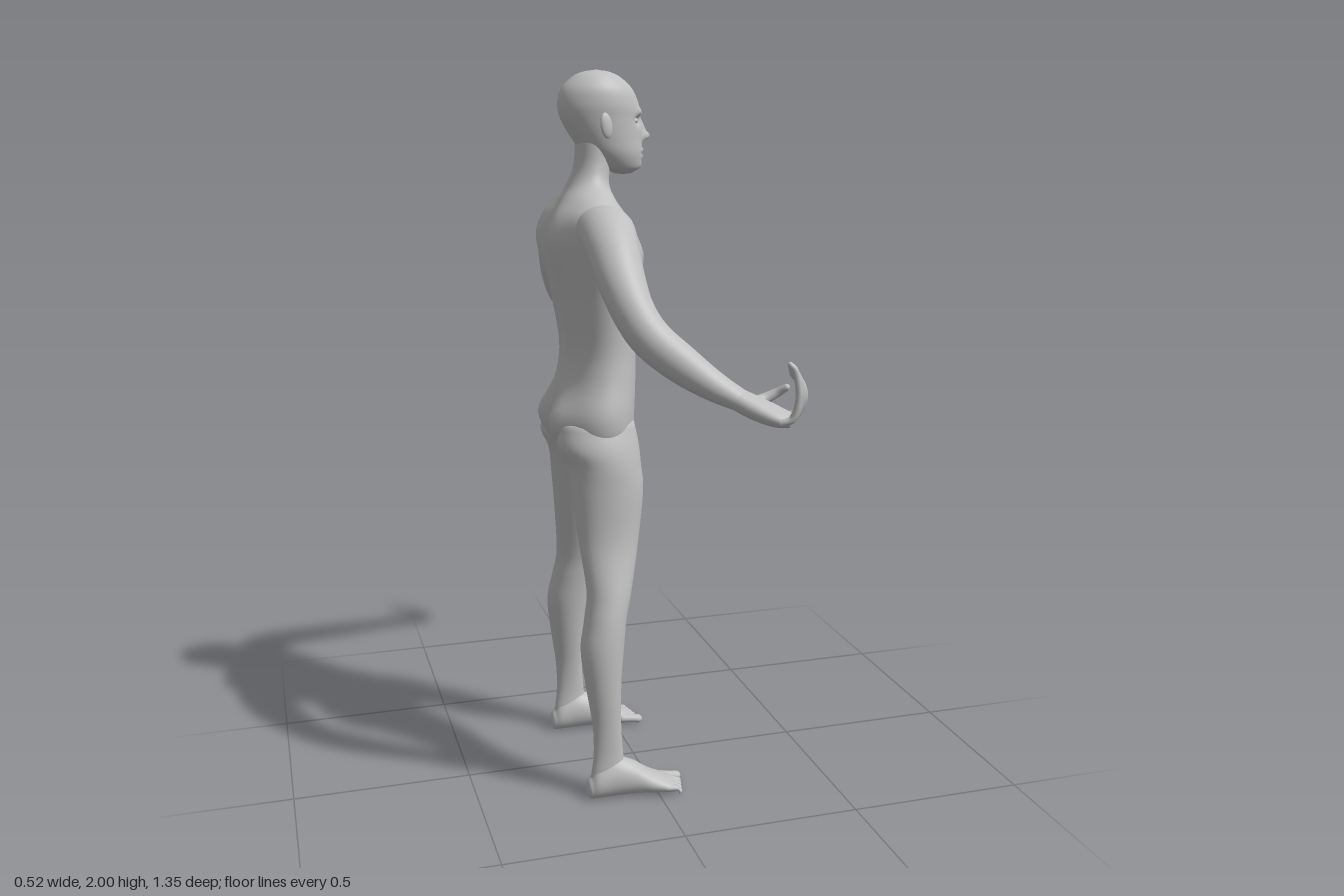
import * as THREE from 'three';

const X = new THREE.Vector3(1, 0, 0);
const Y = new THREE.Vector3(0, 1, 0);

// Smooth skin through rows [x, y, z, ru, rv]; rings lie across the path, or across a fixed axis.
function loft(rows, { ref = Y, axis = null, sides = 32, steps = 5, round = 1 } = {}) {
  const spline = new THREE.CubicInterpolant(rows.map((_, i) => i), rows.flat(), 5);
  const n = (rows.length - 1) * steps;
  const rings = [];
  for (let i = 0; i <= n; i++) {
    const r = Array.from(spline.evaluate(i / steps));
    rings.push({ c: new THREE.Vector3(r[0], r[1], r[2]), ru: r[3], rv: r[4] });
  }
  rings.forEach((r, i) => {
    const a = rings[Math.max(i - 1, 0)].c, b = rings[Math.min(i + 1, n)].c;
    r.t = axis ? axis.clone() : b.clone().sub(a).normalize();
    r.v = r.t.clone().cross(ref).normalize();
    r.u = r.v.clone().cross(r.t);
  });
  // rounded ends
  const cap = (r, sign) => [1, 2, 3, 4].map((j) => {
    const a = (j * Math.PI) / 8.2;
    const c = r.c.clone().addScaledVector(r.t, sign * round * Math.min(r.ru, r.rv) * Math.sin(a));
    return { ...r, c, ru: r.ru * Math.cos(a), rv: r.rv * Math.cos(a) };
  });
  const all = [...cap(rings[0], -1).reverse(), ...rings, ...cap(rings[n], 1)];
  const pos = [], index = [];
  all.forEach((r, k) => {
    for (let i = 0; i < sides; i++) {
      const a = (i / sides) * Math.PI * 2;
      const p = r.c.clone().addScaledVector(r.u, r.ru * Math.cos(a)).addScaledVector(r.v, r.rv * Math.sin(a));
      pos.push(p.x, p.y, p.z);
      if (k === 0) continue;
      const j = (i + 1) % sides, lo = (k - 1) * sides, hi = k * sides;
      index.push(lo + i, lo + j, hi + j, lo + i, hi + j, hi + i);
    }
  });
  const last = (all.length - 1) * sides;
  for (let i = 1; i < sides - 1; i++) {
    index.push(0, i + 1, i, last, last + i, last + i + 1);
  }
  const geo = new THREE.BufferGeometry();
  geo.setAttribute('position', new THREE.Float32BufferAttribute(pos, 3));
  geo.setIndex(index);
  geo.computeVertexNormals();
  return geo;
}

// Upright skin from rows [y, back, front, inner z, outer z]
const upright = (rows, opts) => loft(
  rows.map(([y, b, f, i, o]) => [(b + f) / 2, y, (i + o) / 2, (f - b) / 2, (o - i) / 2]),
  { axis: Y, ref: X, ...opts });

// Push the surface along x around points [x, y, z, radius, height radius, push]; z is mirrored
function sculpt(geo, bumps) {
  const p = geo.attributes.position;
  for (let i = 0; i < p.count; i++) {
    let dx = 0;
    for (const [x, y, z, r, ry, d] of bumps) {
      const q = ((p.getX(i) - x) / (r * 1.6)) ** 2 + ((p.getY(i) - y) / ry) ** 2
        + ((Math.abs(p.getZ(i)) - z) / r) ** 2;
      dx += d * Math.exp(-q);
    }
    p.setX(i, p.getX(i) + dx);
  }
  geo.computeVertexNormals();
  return geo;
}

// Copy to the other side of the body
function mirrored(geo) {
  const g = geo.clone();
  const p = g.attributes.position, ix = g.index;
  for (let i = 0; i < p.count; i++) p.setZ(i, -p.getZ(i));
  for (let i = 0; i < ix.count; i += 3) {
    const a = ix.getX(i);
    ix.setX(i, ix.getX(i + 1));
    ix.setX(i + 1, a);
  }
  g.computeVertexNormals();
  return g;
}

export function createModel() {
  const model = new THREE.Group();
  model.name = 'standingFigure';
  const skin = new THREE.MeshStandardMaterial({ color: 0xbfbfbf });
  skin.name = 'paleGrey';

  const add = (name, geo) => {
    const m = new THREE.Mesh(geo, skin);
    m.name = name;
    model.add(m);
  };
  const pair = (name, geo) => {
    add(name + 'PlusZ', geo);
    add(name + 'MinusZ', mirrored(geo));
  };
  const ball = (x, y, z, a, b, c) => new THREE.SphereGeometry(1, 20, 14).scale(a, b, c).translate(x, y, z);

  // Torso and neck
  const torso = upright([
    [0.965, -0.2, -0.04, 0.08], [1.0, -0.235, -0.015, 0.17], [1.08, -0.245, -0.01, 0.194],
    [1.18, -0.215, -0.005, 0.172], [1.27, -0.207, -0.003, 0.164], [1.4, -0.228, 0, 0.18],
    [1.5, -0.245, 0.003, 0.203], [1.57, -0.247, -0.01, 0.222], [1.62, -0.235, -0.035, 0.21],
    [1.66, -0.212, -0.06, 0.155], [1.7, -0.185, -0.072, 0.085], [1.75, -0.166, -0.068, 0.063],
    [1.82, -0.16, -0.06, 0.06],
  ].map(([y, b, f, w]) => [y, b, f, -w, w]), { sides: 72, round: 0.2 });
  add('torso', sculpt(torso, [
    [-0.01, 1.51, 0.09, 0.06, 0.05, 0.014], // chest
    [0.0, 1.5, 0, 0.02, 0.08, -0.006],
    [-0.24, 1.06, 0.085, 0.055, 0.06, -0.024], // buttocks
    [-0.24, 1.03, 0, 0.025, 0.08, 0.035],
    [-0.24, 1.56, 0.085, 0.05, 0.08, -0.018], // shoulder blades
    [-0.23, 1.42, 0, 0.03, 0.22, 0.02], // spine
    [-0.06, 1.665, 0, 0.02, 0.02, -0.008],
    [-0.005, 1.19, 0, 0.01, 0.012, -0.006], // navel
  ]));

  // Head
  const head = upright([
    [1.732, -0.06, 0.0, 0.03], [1.745, -0.105, 0.016, 0.05], [1.78, -0.14, 0.022, 0.068],
    [1.82, -0.17, 0.02, 0.075], [1.87, -0.2, 0.018, 0.08], [1.91, -0.209, 0.013, 0.083],
    [1.95, -0.199, -0.005, 0.077], [1.98, -0.17, -0.037, 0.057], [1.994, -0.14, -0.067, 0.034],
    [1.999, -0.109, -0.098, 0.005],
  ].map(([y, b, f, w]) => [y, b, f, -w, w]), { sides: 96, steps: 9, round: 0.2 });
  add('head', sculpt(head, [
    [0.02, 1.826, 0, 0.014, 0.014, 0.024], // nose
    [0.02, 1.85, 0, 0.011, 0.022, 0.012],
    [0.005, 1.868, 0.032, 0.017, 0.012, -0.015], // eye sockets
    [0.01, 1.89, 0.025, 0.025, 0.01, 0.006], // brow
    [0.02, 1.79, 0, 0.02, 0.006, 0.007], // lips
    [0.02, 1.774, 0, 0.018, 0.006, 0.006],
    [0.02, 1.782, 0, 0.025, 0.003, -0.005],
    [0.02, 1.748, 0, 0.025, 0.012, 0.005], // chin
  ]));
  pair('eye', ball(-0.009, 1.867, 0.031, 0.013, 0.009, 0.014));
  const ear = ball(0, 0, 0, 0.018, 0.034, 0.009).rotateY(0.35).rotateZ(0.15);
  pair('ear', ear.translate(-0.098, 1.855, 0.085));

  // Legs
  pair('leg', upright([
    [1.06, -0.235, -0.03, 0.03, 0.18], [1.0, -0.245, -0.018, 0.01, 0.2], [0.945, -0.222, -0.013, 0.012, 0.206],
    [0.87, -0.212, -0.01, 0.042, 0.206], [0.73, -0.198, -0.03, 0.085, 0.21], [0.6, -0.186, -0.06, 0.122, 0.243],
    [0.52, -0.197, -0.08, 0.136, 0.261], [0.44, -0.211, -0.09, 0.15, 0.268], [0.335, -0.2, -0.1, 0.172, 0.265],
    [0.22, -0.184, -0.102, 0.196, 0.256], [0.13, -0.182, -0.097, 0.204, 0.252], [0.06, -0.19, -0.09, 0.2, 0.254],
    [0.03, -0.185, -0.095, 0.205, 0.25],
  ].reverse(), { sides: 40, round: 0.2 }));

  // Feet: [x, top, centre z, half width]
  pair('foot', loft([
    [-0.192, 0.06, 0.228, 0.026], [-0.17, 0.09, 0.228, 0.036], [-0.12, 0.115, 0.228, 0.041],
    [-0.07, 0.1, 0.229, 0.043], [-0.02, 0.066, 0.232, 0.047], [0.025, 0.043, 0.234, 0.05],
    [0.045, 0.032, 0.234, 0.046],
  ].map(([x, top, z, w]) => [x, top / 2, z, top / 2, w]), { axis: X, round: 0.4 }));
  for (let i = 0; i < 5; i++) {
    const z = 0.197 + i * 0.0195 - (i ? 0 : 0.002), r = i ? 0.0095 : 0.014;
    const tip = 0.076 - i * 0.005 - (i ? 0 : 0.004);
    pair('toe' + (i + 1), loft([
      [0.02, 0.022, z, r, r], [0.05, 0.018, z, r * 0.9, r * 0.95], [tip, r, z, r * 0.95, r],
    ], { axis: X, sides: 12 }));
  }

  // Arms
  pair('arm', loft([
    [-0.132, 1.595, 0.13, 0.055, 0.07], [-0.132, 1.585, 0.21, 0.068, 0.074], [-0.134, 1.54, 0.285, 0.064, 0.067],
    [-0.13, 1.475, 0.345, 0.06, 0.061], [-0.115, 1.405, 0.4, 0.056, 0.053], [-0.083, 1.345, 0.445, 0.053, 0.05],
    [-0.02, 1.287, 0.49, 0.049, 0.046], [0.05, 1.236, 0.53, 0.038, 0.039], [0.11, 1.202, 0.56, 0.028, 0.034],
  ], { round: 0.4 }));

  // Hands: palm up, fingers curling upward
  pair('palm', loft([
    [0.1, 1.207, 0.555, 0.028, 0.034], [0.145, 1.184, 0.577, 0.029, 0.043],
    [0.19, 1.165, 0.6, 0.025, 0.049], [0.22, 1.157, 0.613, 0.018, 0.046],
  ], { round: 0.5 }));
  const across = new THREE.Vector3(-0.45, 0, 0.9).normalize();
  const finger = { ref: across, sides: 14, steps: 6 };
  for (let i = 0; i < 4; i++) {
    const r = 0.0115 - i * 0.0007;
    pair('finger' + (i + 1), loft([
      [0.224 - i * 0.013, 1.158, 0.578 + i * 0.022, r, r],
      [0.247 - i * 0.012, 1.172, 0.597 + i * 0.02, r, r],
      [0.254 - i * 0.011, 1.212 + i * 0.005, 0.617 + i * 0.016, r * 0.92, r * 0.92],
      [0.244 - i * 0.011, 1.25 + i * 0.012, 0.62 + i * 0.015, r * 0.85, r * 0.85],
      [0.225 - i * 0.009, 1.272 + i * 0.011, 0.612 + i * 0.016, r * 0.7, r * 0.7],
    ], finger));
  }
  pair('thumb', loft([
    [0.14, 1.19, 0.56, 0.018, 0.018], [0.175, 1.197, 0.545, 0.015, 0.015],
    [0.208, 1.213, 0.552, 0.012, 0.012], [0.228, 1.23, 0.57, 0.009, 0.009],
  ], finger));

  return model;
}
